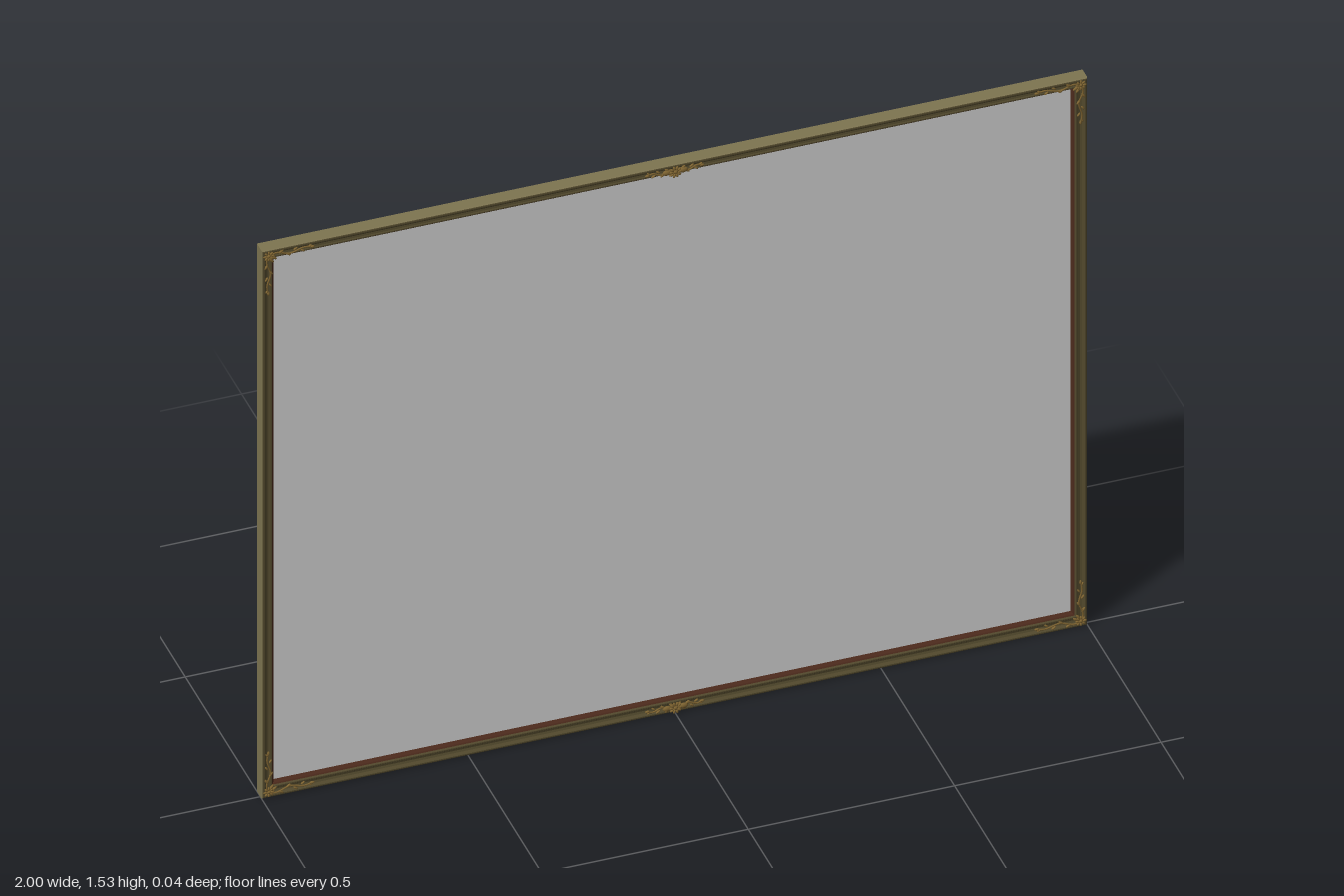
import * as THREE from 'three';

const W = 1, BOTTOM = 0.008, TOP = 1.538, MID = 0.0165; // outer half width, heights, rail centre line

const paint = (color) => new THREE.MeshStandardMaterial({ color });
const olive = paint(0x7d7450);
const darkOlive = paint(0x51482c);
const redBrown = paint(0x4c2a1c);
const gold = paint(0x7c6230);
const glassGrey = new THREE.MeshStandardMaterial({ color: 0xcccccc, side: THREE.DoubleSide });

// Mitred moulding: sweeps a profile of [inset, z] points round the rectangle
function moulding(name, profile, material) {
  const pos = [];
  const corner = ([d, z], i) => [
    (i === 1 || i === 2 ? 1 : -1) * (W - d),
    i >= 2 ? TOP - d : BOTTOM + d, z];
  for (let p = 0; p < profile.length - 1; p++) {
    for (let i = 0; i < 4; i++) {
      const j = (i + 1) % 4;
      const a = corner(profile[p], i), b = corner(profile[p], j);
      const c = corner(profile[p + 1], j), d = corner(profile[p + 1], i);
      pos.push(...a, ...b, ...c, ...a, ...c, ...d);
    }
  }
  const geo = new THREE.BufferGeometry();
  geo.setAttribute('position', new THREE.Float32BufferAttribute(pos, 3));
  geo.computeVertexNormals();
  const mesh = new THREE.Mesh(geo, material);
  mesh.name = name;
  return mesh;
}

// Flattened leaf or bead
const bead = new THREE.SphereGeometry(1, 10, 7);
function leaf(parent, x, y, z, length, width, depth, angle = 0) {
  const mesh = new THREE.Mesh(bead, gold);
  mesh.name = 'leaf';
  mesh.position.set(x, y, z);
  mesh.scale.set(length, width, depth);
  mesh.rotation.z = angle;
  parent.add(mesh);
}

// Carved arm along +x: a waving stem with leaves on alternate sides
function scrollArm(length, height) {
  const arm = new THREE.Group();
  arm.name = 'scrollArm';
  const points = [];
  for (let i = 0; i <= 10; i++) {
    const t = i / 10;
    points.push(new THREE.Vector3(t * length, Math.sin(t * Math.PI * 3) * 0.006 * (1 - t * 0.5), height * (1 - 0.25 * t)));
  }
  const stem = new THREE.Mesh(
    new THREE.TubeGeometry(new THREE.CatmullRomCurve3(points), 30, 0.002, 6), gold);
  stem.name = 'stem';
  arm.add(stem);
  for (let i = 0; i < 6; i++) {
    const t = (i + 0.7) / 6, side = i % 2 ? 1 : -1, s = 1 - 0.45 * t;
    leaf(arm, t * length, side * 0.007 * s, height * (1 - 0.3 * t), 0.009 * s, 0.0035 * s, 0.003, side * 0.6);
  }
  leaf(arm, length, 0, height * 0.75, 0.006, 0.003, 0.003);
  return arm;
}

// Fan of petals round a bead
function rosette(parent, petals, radius, z) {
  for (let i = 0; i < petals; i++) {
    const a = (i / petals) * Math.PI * 2;
    leaf(parent, Math.cos(a) * radius, Math.sin(a) * radius, z, radius * 0.55, radius * 0.3, 0.003, a);
  }
  leaf(parent, 0, 0, z, radius * 0.5, radius * 0.5, 0.004);
}

function cornerOrnament(sx, sy) {
  const g = new THREE.Group();
  g.name = 'cornerOrnament';
  rosette(g, 8, 0.009, 0.012);
  const across = scrollArm(0.106, 0.012);
  across.scale.x = -1;
  const down = scrollArm(0.106, 0.012);
  down.rotation.z = -Math.PI / 2;
  g.add(across, down);
  g.position.set(sx * (W - MID), sy > 0 ? TOP - MID : BOTTOM + MID, 0);
  g.scale.set(sx, sy, 1);
  return g;
}

function centreOrnament(sy) {
  const g = new THREE.Group();
  g.name = 'centreOrnament';
  rosette(g, 10, 0.0105, 0.017);
  for (const s of [-1, 1]) {
    const arm = scrollArm(0.066, 0.014);
    arm.scale.x = s;
    g.add(arm);
    leaf(g, s * 0.02, 0, 0.014, 0.011, 0.007, 0.005);
  }
  g.position.y = sy > 0 ? TOP - MID : BOTTOM + MID;
  g.scale.y = sy;
  return g;
}

export function createModel() {
  const model = new THREE.Group();
  model.name = 'pictureFrame';

  // Frame rails, from the outer wall over the front and round to the back rebate
  model.add(
    moulding('outerWall', [[0, -0.023], [0, 0.008], [0.002, 0.011]], olive),
    moulding('frontMoulding', [[0.002, 0.011], [0.004, 0.012], [0.007, 0.012], [0.009, 0.009], [0.011, 0.005],
      [0.016, 0.003], [0.021, 0.004], [0.023, 0.006], [0.026, 0.006], [0.028, 0.002]], darkOlive),
    moulding('sightEdge', [[0.028, 0.002], [0.031, 0], [0.034, -0.005], [0.034, -0.012]], redBrown),
    moulding('backRebate', [[0.034, -0.012], [0.026, -0.012], [0.026, -0.023], [0, -0.023]], olive));

  // Thin panel held in the rebate
  const panel = new THREE.Mesh(new THREE.PlaneGeometry(2 * (W - 0.03), TOP - BOTTOM - 0.06), glassGrey);
  panel.name = 'panel';
  panel.position.set(0, (TOP + BOTTOM) / 2, -0.01);
  model.add(panel);

  // Carved ornaments at the corners and the middle of the top and bottom rails
  for (const sy of [-1, 1]) {
    model.add(centreOrnament(sy));
    for (const sx of [-1, 1]) model.add(cornerOrnament(sx, sy));
  }
  return model;
}
